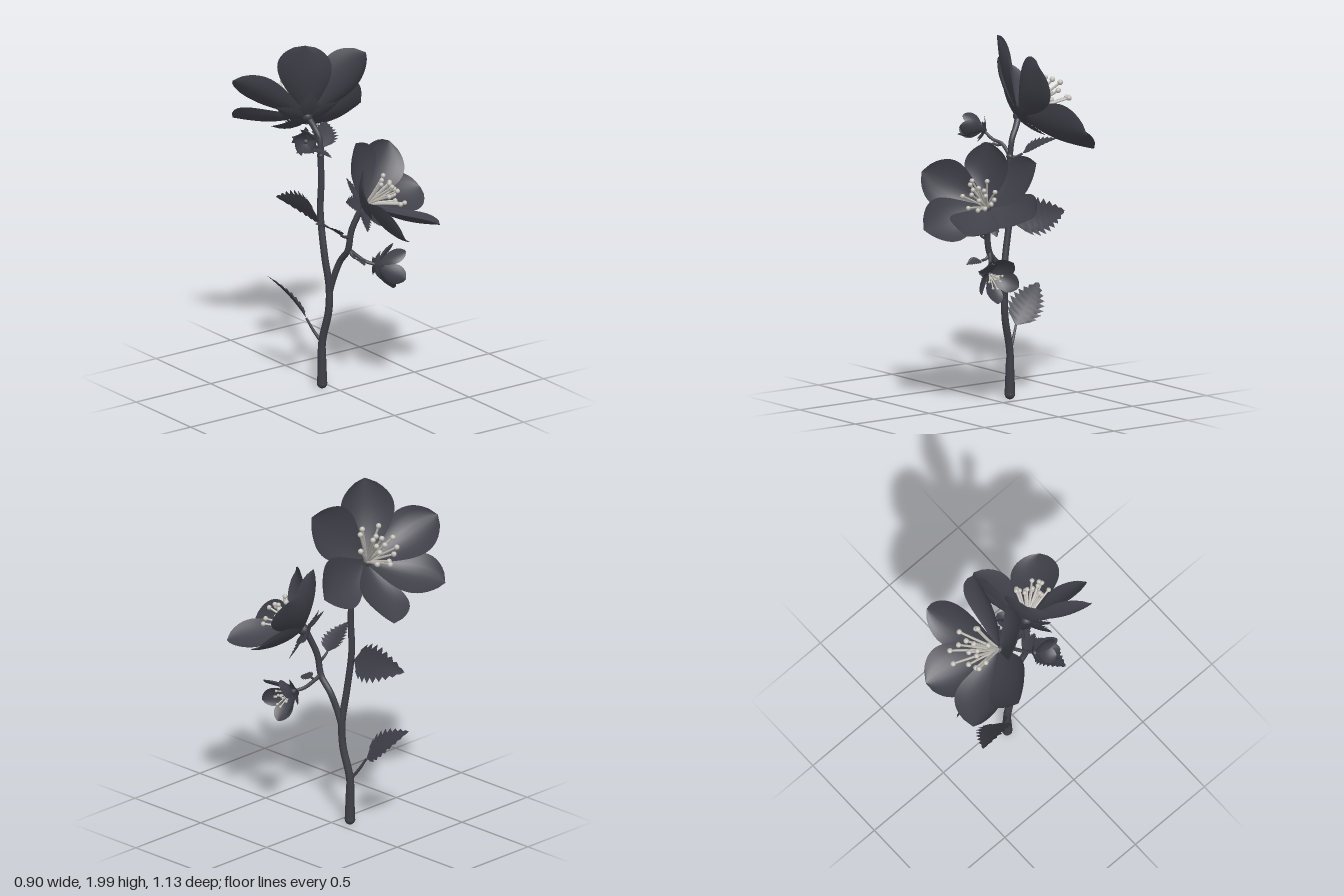
import * as THREE from 'three';

const V = (x, y, z) => new THREE.Vector3(x, y, z);
const TAU = Math.PI * 2;

export function createModel() {
  const model = new THREE.Group();
  const mat = (name, color, side = THREE.FrontSide) => {
    const m = new THREE.MeshStandardMaterial({ color, side });
    m.name = name;
    return m;
  };
  const petalMat = mat('charcoal petal', 0x40404a, THREE.DoubleSide);
  const leafMat = mat('charcoal leaf', 0x3e3e48, THREE.DoubleSide);
  const stemMat = mat('charcoal stem', 0x3f3f48);
  const stamenMat = mat('pale stamen', 0xc2bfb7);

  const add = (parent, name, geometry, material) => {
    const mesh = new THREE.Mesh(geometry, material);
    mesh.name = name;
    parent.add(mesh);
    return mesh;
  };

  const petalShape = t => 0.1 * (1 - t) + Math.pow(Math.abs(Math.sin(Math.PI * Math.pow(t, 1.6))), 0.66);
  const leafShape = t => 0.03 * (1 - t) + Math.pow(Math.abs(Math.sin(Math.PI * Math.pow(t, 0.62))), 0.85);

  // Curved blade from base to tip; its inner face looks towards "up"
  function blade(base, tip, up, halfWidth, { shape, rows, cols, bow = 0, cup = 0, twist = 0, teeth = false }) {
    const L = tip.clone().sub(base);
    const len = L.length();
    const dir = L.clone().normalize();
    const w = up.clone().addScaledVector(dir, -up.dot(dir)).normalize();
    const s = dir.clone().cross(w);
    const pos = [], index = [];
    for (let i = 0; i <= rows; i++) {
      const t = i / rows;
      const peak = teeth && i % 2 === 1;
      const h = halfWidth * shape(t) * (teeth && !peak ? 0.7 : 1);
      for (let j = 0; j <= cols; j++) {
        const u = (j / cols) * 2 - 1;
        const along = t + (peak ? 0.08 * Math.abs(u) * (1 - t) : 0);
        const lift = -bow * len * Math.sin(Math.PI * t) + h * (cup * u * u + twist * u);
        const p = base.clone().addScaledVector(L, along).addScaledVector(s, u * h).addScaledVector(w, lift);
        pos.push(p.x, p.y, p.z);
        if (i < rows && j < cols) {
          const a = i * (cols + 1) + j, b = a + cols + 1;
          index.push(a, a + 1, b, a + 1, b + 1, b);
        }
      }
    }
    const g = new THREE.BufferGeometry();
    g.setAttribute('position', new THREE.Float32BufferAttribute(pos, 3));
    g.setIndex(index);
    g.computeVertexNormals();
    return g;
  }

  // Tapered tube through a few points
  function stem(name, pts, r0, r1, parent = model, material = stemMat, sides = 10) {
    const curve = new THREE.CatmullRomCurve3(pts);
    const n = pts.length * 6;
    const g = new THREE.TubeGeometry(curve, n, 1, sides);
    const p = g.attributes.position, v = V(0, 0, 0);
    for (let i = 0; i <= n; i++) {
      const c = curve.getPointAt(i / n);
      for (let j = 0; j <= sides; j++) {
        const k = i * (sides + 1) + j;
        v.fromBufferAttribute(p, k).sub(c).multiplyScalar(r0 + (r1 - r0) * (i / n)).add(c);
        p.setXYZ(k, v.x, v.y, v.z);
      }
    }
    return add(parent, name, g, material);
  }

  function ball(parent, name, at, r, material) {
    const m = add(parent, name, new THREE.SphereGeometry(r, 12, 8), material);
    m.position.copy(at);
    return m;
  }

  // Points on a circle around an axis, at a given height above the base
  function ring(base, n, count, radius, height, phase = 0) {
    const a = V(0, 1, 0).cross(n).normalize();
    const b = n.clone().cross(a);
    return Array.from({ length: count }, (_, i) => {
      const q = phase + (i / count) * TAU;
      return base.clone().addScaledVector(n, height)
        .addScaledVector(a, Math.cos(q) * radius).addScaledVector(b, Math.sin(q) * radius);
    });
  }

  function leaf(name, base, tip, up, halfWidth, parent = model, bow = -0.04) {
    add(parent, name, blade(base, tip, up, halfWidth,
      { shape: leafShape, rows: 18, cols: 4, bow, cup: 0.2, teeth: true }), leafMat);
  }

  function flower(name, base, n, tips, o) {
    const g = new THREE.Group();
    g.name = name;
    model.add(g);
    tips.forEach(t => add(g, 'petal', blade(base, t, n, o.width,
      { shape: petalShape, rows: 20, cols: 8, bow: o.bow, cup: o.cup, twist: 0.26 }), petalMat));
    ring(base, n, 5, o.sepal, o.sepalHeight, o.sepalPhase).forEach(t =>
      leaf('sepal', base.clone().addScaledVector(n, -0.015), t, n, o.sepal * 0.34, g, 0.05));
    ball(g, 'receptacle', base, o.core, stemMat);
    // Stamens fan out in an inner and an outer circle
    for (let i = 0; i < o.stamens; i++) {
      const outer = i % 3 !== 0;
      const len = o.stamenLength * (0.74 + 0.26 * ((i * 7) % 5) / 4);
      const tip = ring(base, o.stamenAxis, 1, len * (outer ? 0.46 : 0.18), len * (outer ? 0.88 : 0.98), i * 2.4)[0];
      const mid = base.clone().lerp(tip, 0.5).addScaledVector(n, len * 0.03);
      stem('filament', [base, mid, tip], o.thread, o.thread * 0.8, g, stamenMat, 6);
      ball(g, 'anther', tip, o.thread * 1.9, stamenMat);
    }
  }

  // Main stem with its thick foot, and the branches
  stem('mainStem', [V(-0.055, 0.02, -0.087), V(-0.055, 0.27, -0.087), V(-0.042, 0.46, -0.045), V(-0.042, 0.6, -0.04),
    V(-0.06, 0.78, -0.058), V(-0.063, 1.02, -0.092), V(-0.06, 1.2, -0.088), V(-0.062, 1.345, -0.092)], 0.022, 0.017);
  stem('flaredFoot', [V(-0.055, 0.035, -0.087), V(-0.055, 0.12, -0.087), V(-0.055, 0.24, -0.087)], 0.029, 0.021);
  ball(model, 'stemFoot', V(-0.055, 0.037, -0.087), 0.029, stemMat);
  ball(model, 'stemTopJoint', V(-0.062, 1.345, -0.092), 0.02, stemMat);
  stem('upperFlowerStalk', [V(-0.062, 1.33, -0.092), V(-0.06, 1.44, -0.105), V(-0.072, 1.5, -0.14), V(-0.09, 1.55, -0.17)], 0.015, 0.018);
  stem('lowerFlowerBranch', [V(-0.04, 0.57, -0.04), V(-0.03, 0.66, -0.015), V(-0.012, 0.76, 0.02), V(-0.008, 0.84, 0.085),
    V(0, 0.96, 0.108), V(0.05, 1.1, 0.14)], 0.018, 0.017);
  stem('smallFlowerStalk', [V(-0.008, 0.85, 0.085), V(0.03, 0.81, 0.11), V(0.07, 0.775, 0.14), V(0.11, 0.76, 0.175)], 0.011, 0.009);
  stem('budStalk', [V(-0.062, 1.35, -0.092), V(-0.11, 1.41, -0.075), V(-0.16, 1.43, -0.05), V(-0.21, 1.475, -0.025)], 0.011, 0.008);

  // Large upper flower, facing back and up
  flower('upperFlower', V(-0.092, 1.555, -0.175), V(0.273, 0.624, -0.732).normalize(),
    [V(-0.17, 2, -0.085), V(0.23, 1.88, -0.075), V(0.36, 1.5, -0.3), V(0.08, 1.355, -0.555), V(-0.31, 1.48, -0.56), V(-0.455, 1.78, -0.36)],
    { width: 0.138, bow: 0.06, cup: 0.4, sepal: 0.185, sepalHeight: 0.035, sepalPhase: 0.3, core: 0.032,
      stamens: 16, stamenLength: 0.29, stamenAxis: V(0.24, 0.7, -0.67).normalize(), thread: 0.008 });

  // Large lower flower, facing front and left
  const lowerAxis = V(0.506, 0.565, 0.651).normalize();
  flower('lowerFlower', V(0.06, 1.11, 0.155), lowerAxis,
    [V(0.45, 1.12, 0.12), V(0.32, 1.38, 0.015), V(0.02, 1.46, 0.12), V(-0.16, 1.31, 0.43), V(0.03, 1.03, 0.56), V(0.32, 1.03, 0.48)],
    { width: 0.126, bow: 0.07, cup: 0.36, sepal: 0.175, sepalHeight: -0.025, sepalPhase: -1.13, core: 0.032,
      stamens: 16, stamenLength: 0.22, stamenAxis: lowerAxis, thread: 0.007 });

  // Small flower and bud
  const smallBase = V(0.115, 0.755, 0.18), smallAxis = V(0.95, -0.17, 0.15).normalize();
  flower('smallFlower', smallBase, smallAxis, ring(smallBase, smallAxis, 5, 0.128, 0.125, -Math.PI / 2),
    { width: 0.052, bow: 0.1, cup: 0.3, sepal: 0.08, sepalHeight: 0.01, sepalPhase: 0.3, core: 0.016,
      stamens: 10, stamenLength: 0.11, stamenAxis: smallAxis, thread: 0.004 });
  const budBase = V(-0.21, 1.475, -0.025), budAxis = V(-0.55, 0.25, 0.7).normalize();
  flower('bud', budBase, budAxis, ring(budBase, budAxis, 5, 0.06, 0.13),
    { width: 0.045, bow: 0.17, cup: 0.3, sepal: 0.08, sepalHeight: 0.02, sepalPhase: 0.3, core: 0.018, stamens: 0 });

  // Serrated leaves: stalk start, blade base, tip, facing direction, half width
  [
    ['lowStemLeaf', V(-0.055, 0.27, -0.087), V(-0.105, 0.4, -0.165), V(-0.2, 0.595, -0.39), V(0.75, 0.5, 0.45), 0.1],
    ['midStemLeaf', V(-0.06, 0.97, -0.09), V(-0.06, 0.975, -0.115), V(-0.08, 1.0, -0.475), V(0.87, 0.45, 0.1), 0.11],
    ['branchLeaf', V(0, 0.92, 0.1), V(-0.08, 0.95, 0.11), V(-0.27, 1.06, 0.145), V(0.5, 0.85, 0), 0.075],
    ['topLeaf', V(-0.06, 1.34, -0.092), V(-0.01, 1.365, -0.14), V(0.11, 1.45, -0.285), V(-0.2, 0.85, 0.55), 0.075],
    ['budLeaf', V(-0.11, 1.41, -0.075), V(-0.155, 1.41, -0.045), V(-0.105, 1.385, 0.07), V(0.15, 0.95, 0.15), 0.042],
    ['smallFlowerLeaf', V(0, 0.83, 0.095), V(0, 0.81, 0.15), V(-0.01, 0.795, 0.24), V(0.3, 0.9, 0.2), 0.04],
  ].forEach(([name, start, base, tip, up, w]) => {
    const mid = start.clone().lerp(base, 0.5).add(V(0, -0.008, 0));
    stem(name + 'Stalk', [start, mid, base], 0.01, 0.006);
    leaf(name, base, tip, up, w);
  });

  return model;
}
